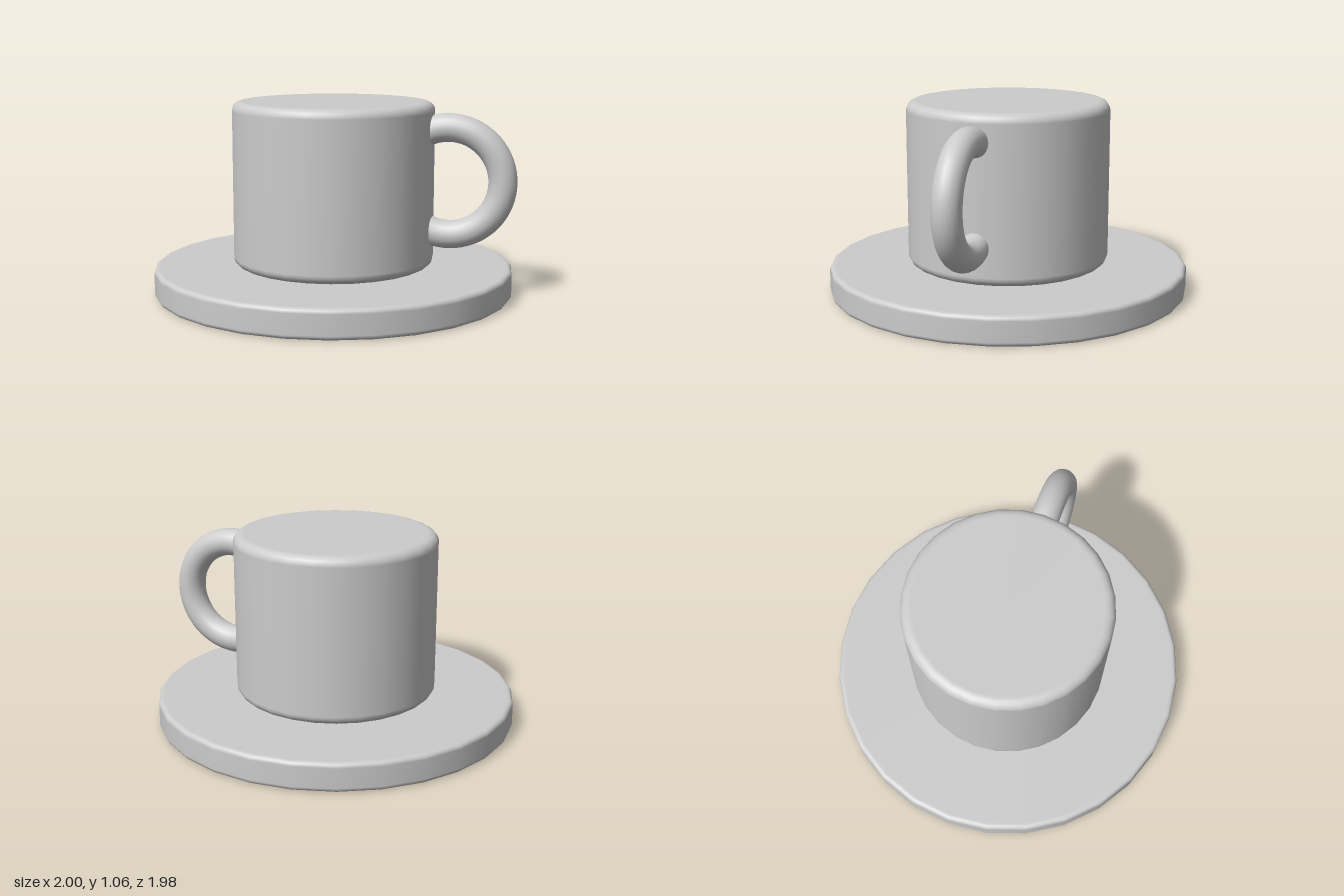
import * as THREE from 'three';

const SIDES = 28;

// Solid disc with rounded top and bottom rims, standing on its own y = 0
function roundedDisc(radius, height, bevel, steps = 5) {
  const points = [new THREE.Vector2(0, 0), new THREE.Vector2(radius - bevel - 0.01, 0)];
  const corner = (cy, from) => {
    for (let i = 0; i <= steps; i++) {
      const a = from + (i / steps) * Math.PI / 2;
      points.push(new THREE.Vector2(radius - bevel + bevel * Math.cos(a), cy + bevel * Math.sin(a)));
    }
  };
  corner(bevel, -Math.PI / 2);
  corner(height - bevel, 0);
  points.push(new THREE.Vector2(radius - bevel - 0.01, height), new THREE.Vector2(0, height));
  return new THREE.LatheGeometry(points, SIDES);
}

export function createModel() {
  const group = new THREE.Group();
  const material = new THREE.MeshStandardMaterial({ color: 0xcccccc });
  const add = (name, geometry, x, y) => {
    const mesh = new THREE.Mesh(geometry, material);
    mesh.name = name;
    mesh.position.set(x, y, 0);
    group.add(mesh);
    return mesh;
  };

  // Thick flat saucer with the closed cup resting on it
  add('saucer', roundedDisc(0.99, 0.157, 0.025), -0.01, 0);
  add('cup', roundedDisc(0.555, 0.9, 0.05), -0.01, 0.157);

  // Ring handle on the left side, its ends sunk into the cup wall
  const reach = THREE.MathUtils.degToRad(125);
  const handle = add('handle', new THREE.TorusGeometry(0.29, 0.077, 20, 48, reach * 2), 0.63, 0.637);
  handle.rotation.z = -reach;

  return group;
}
